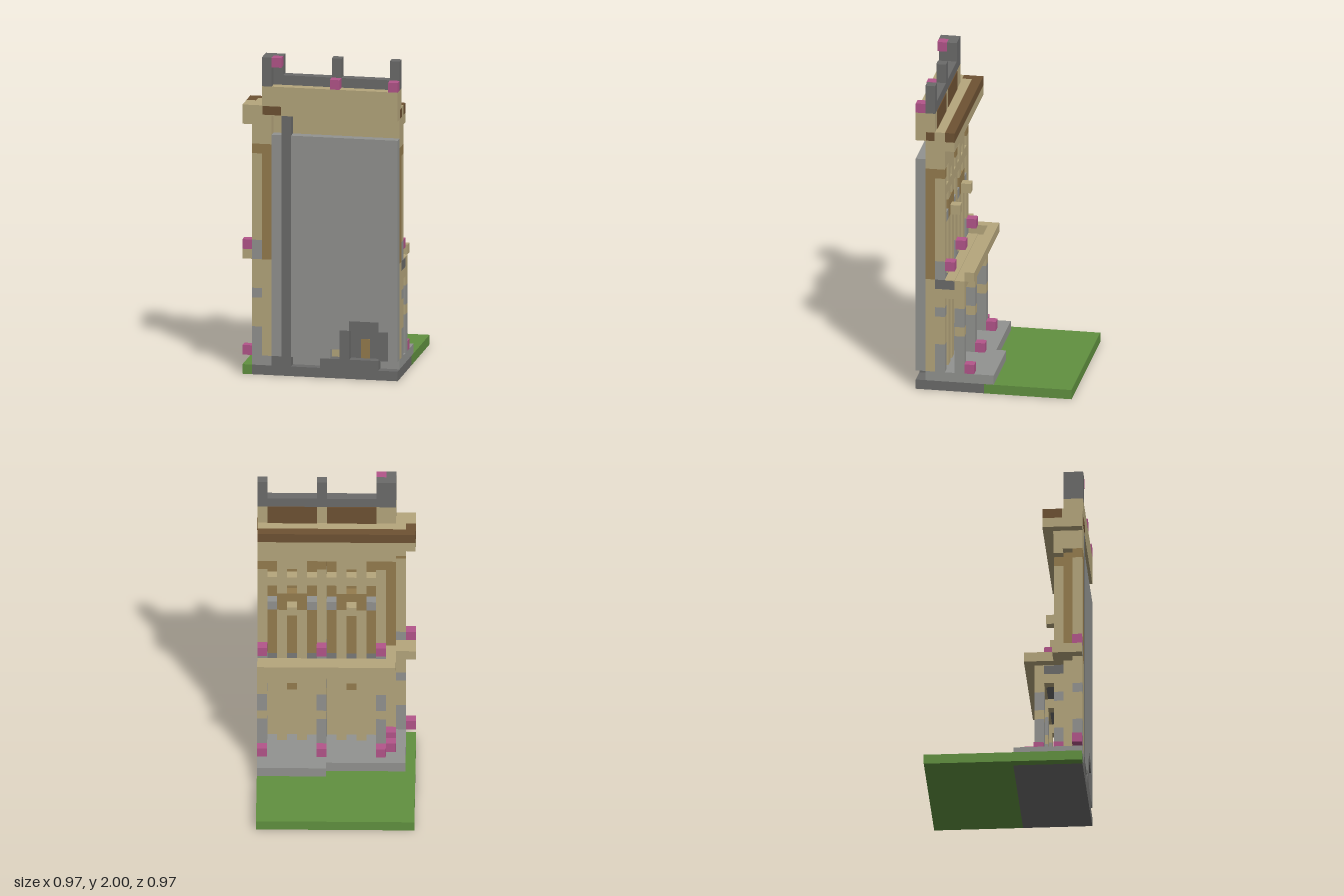
import * as THREE from 'three';

const U = 2 / 33; // one building block

export function createModel() {
  const root = new THREE.Group();
  root.name = 'buildingFacade';
  const mat = (name, color) => {
    const m = new THREE.MeshStandardMaterial({ color });
    m.name = name;
    return m;
  };
  const sand = mat('sandstone', 0xb5a67c);
  const grey = mat('lightGrey', 0x929390);
  const dark = mat('darkGrey', 0x6b6b6a);
  const green = mat('grass', 0x619140);
  const pink = mat('pinkFlower', 0xb3558a);
  const tan = mat('tan', 0x957c4e);
  const brown = mat('brown', 0x6e5233);

  // box between block coordinates: x 0..16, y 0..33, z 0..16
  const box = (name, m, i0, i1, j0, j1, k0, k1) => {
    const mesh = new THREE.Mesh(new THREE.BoxGeometry((i1 - i0) * U, (j1 - j0) * U, (k1 - k0) * U), m);
    mesh.position.set(((i0 + i1) / 2 - 8) * U, ((j0 + j1) / 2) * U, ((k0 + k1) / 2 - 8) * U);
    mesh.name = name;
    root.add(mesh);
  };
  const cube = (name, m, i, j, k) => box(name, m, i, i + 1, j, j + 1, k, k + 1);
  // one-block column made of stacked colour bands [material, top]
  const column = (name, i, k, base, bands) => {
    let j = base;
    for (const [m, top] of bands) {
      box(name, m, i, i + 1, j, top, k, k + 1);
      j = top;
    }
  };

  // ground and steps
  box('lawn', green, 0, 16, 0, 1, 0, 9);
  box('lawnStrip', green, 0, 1, 0, 1, 9, 16);
  box('foundation', dark, 1, 16, 0, 1, 9, 16);
  box('terrace', grey, 1, 16, 1, 2, 9, 15);
  box('terraceStep', grey, 9, 16, 1, 2, 8, 9);
  box('wallFooting', grey, 1, 3, 1, 2, 15, 16);
  box('wallFooting', dark, 3, 5, 1, 2, 15, 16);
  box('wallFooting', dark, 8, 14, 1, 2, 15, 16);

  // flat front wall with a dark strip, a small niche and a fireplace
  box('frontWall', grey, 3, 4, 2, 25, 15, 16);
  box('darkStrip', dark, 4, 5, 2, 27, 15, 16);
  box('frontWall', grey, 5, 9, 2, 25, 15, 16);
  box('frontWall', grey, 9, 10, 3, 25, 15, 16);
  box('frontWall', grey, 10, 16, 6, 25, 15, 16);
  box('frontWall', grey, 10, 11, 5, 6, 15, 16);
  box('frontWall', grey, 14, 16, 5, 6, 15, 16);
  box('frontWall', grey, 15, 16, 2, 5, 15, 16);
  box('doorFrame', dark, 10, 11, 2, 5, 15, 16);
  box('doorFrame', dark, 14, 15, 2, 5, 15, 16);
  box('doorFrame', dark, 11, 14, 5, 6, 15, 16);
  box('doorRecess', dark, 11, 14, 2, 5, 15, 15.05);
  box('door', tan, 12.05, 12.95, 2, 4, 15.05, 15.1);

  // inner wall layer, turning the corner
  for (const [i0, i1, k0, k1] of [[2, 16, 14, 15], [2, 3, 15, 16]]) {
    box('innerWallLower', sand, i0, i1, 2, 12, k0, k1);
    box('innerWallUpper', tan, i0, i1, 12, 24, k0, k1);
    box('innerWallTop', sand, i0, i1, 24, 27, k0, k1);
  }

  // main columns at the back and on the side
  const mainBands = [[grey, 5], [sand, 8], [grey, 9], [sand, 11], [dark, 12], [grey, 14], [sand, 23], [tan, 24]];
  for (const i of [3, 9, 15]) {
    column('mainColumn', i, 13, 2, mainBands);
    column('porticoColumn', i, 11, 2, [[grey, 6], [sand, 7], [grey, 9], [sand, 11]]);
    box('porticoBracket', sand, i, i + 1, 10, 11, 12, 13);
    cube('baseFlower', pink, i, 2, 10);
    cube('balconyFlower', pink, i, 13, 12);
  }
  column('sideColumn', 1, 15, 2, [[grey, 5], [sand, 8], [grey, 9], [sand, 12], [grey, 14], [sand, 23], [tan, 24]]);
  for (const [i, j, k] of [[2, 2, 11], [2, 2, 13], [0, 2, 15], [0, 13, 15]]) cube('sideFlower', pink, i, j, k);

  // two window bays
  for (const s of [4, 10]) {
    // ground floor doorway
    box('doorPier', sand, s + 1, s + 2, 2, 9, 13, 14);
    box('doorPier', sand, s + 3, s + 4, 2, 9, 13, 14);
    box('doorLintel', sand, s + 1, s + 4, 9, 10, 13, 14);
    box('doorArch', tan, s + 2, s + 3, 8, 9, 13.3, 14);
    box('floorBand', dark, s, s + 5, 11, 12, 13, 14);
    // upper windows
    for (const p of [s + 1, s + 3]) {
      box('windowPier', sand, p, p + 1, 12, 18, 13, 14);
      box('windowPier', sand, p, p + 1, 20, 24, 13, 14);
    }
    box('windowBox', tan, s + 1, s + 4, 18, 20, 13, 14);
    cube('windowBoxFront', sand, s + 2, 18, 12);
    cube('windowHead', sand, s + 2, 21, 13);
    cube('windowHead', sand, s + 2, 23, 13);
    for (const p of [s, s + 4]) {
      cube('windowSill', grey, p, 18, 13);
      cube('windowSill', sand, p, 21, 13);
    }
  }

  // balcony: beam, floor and rim
  box('balconyBeam', sand, 3, 16, 11, 12, 11, 12);
  box('balconyFloor', dark, 3, 16, 11, 11.95, 12, 13);
  box('balconyFloorTop', sand, 3, 16, 11.95, 12.05, 12, 13);
  box('balconyRim', sand, 2, 16, 12, 13, 10, 11);
  box('balconySideRim', sand, 2, 3, 12, 13, 11, 13);
  box('sideLedge', sand, 1, 3, 12, 13, 13, 14);
  box('sideLedge', sand, 0, 1, 12, 13, 13, 16);
  box('sideLedge', sand, 1, 2, 12, 13, 14, 15);

  // frieze and cornice
  box('frieze', sand, 2, 16, 24, 27, 13, 14);
  box('sideFrieze', sand, 1, 2, 24, 27, 14, 16);
  box('corniceLower', sand, 0, 16, 26, 27, 12, 13);
  box('corniceSideLower', sand, 0, 1, 26, 27, 13, 16);
  box('corniceBand', brown, 0, 16, 27, 28, 12, 13);
  box('corniceCorner', brown, 0, 1, 27, 28, 13, 14);
  box('corniceSide', sand, 0, 1, 27, 28, 14, 16);
  box('corniceInner', sand, 1, 16, 27, 28, 13, 14);
  box('corniceInnerSide', sand, 1, 2, 27, 28, 14, 16);

  // attic with brown panels
  box('attic', sand, 2, 16, 27, 30, 14, 16);
  for (const i of [4, 10]) box('atticPanel', brown, i, i + 5, 28, 30, 13.93, 14);
  box('frontPatch', brown, 2.05, 3.95, 27.05, 27.95, 16, 16.04);
  box('sidePatch', brown, 16, 16.04, 27.05, 27.95, 14.05, 14.95);

  // parapet, posts and roof flowers
  box('parapet', dark, 2, 16, 30, 31, 14, 15);
  box('cornerPost', dark, 2, 4, 31, 33, 14, 15);
  box('cornerPost', dark, 2, 3, 30, 33, 15, 16);
  for (const i of [9, 15]) {
    box('parapetPost', dark, i, i + 1, 31, 33, 14, 15);
    cube('roofFlower', pink, i, 30, 15);
  }
  cube('roofFlower', pink, 3, 32, 15);

  return root;
}
